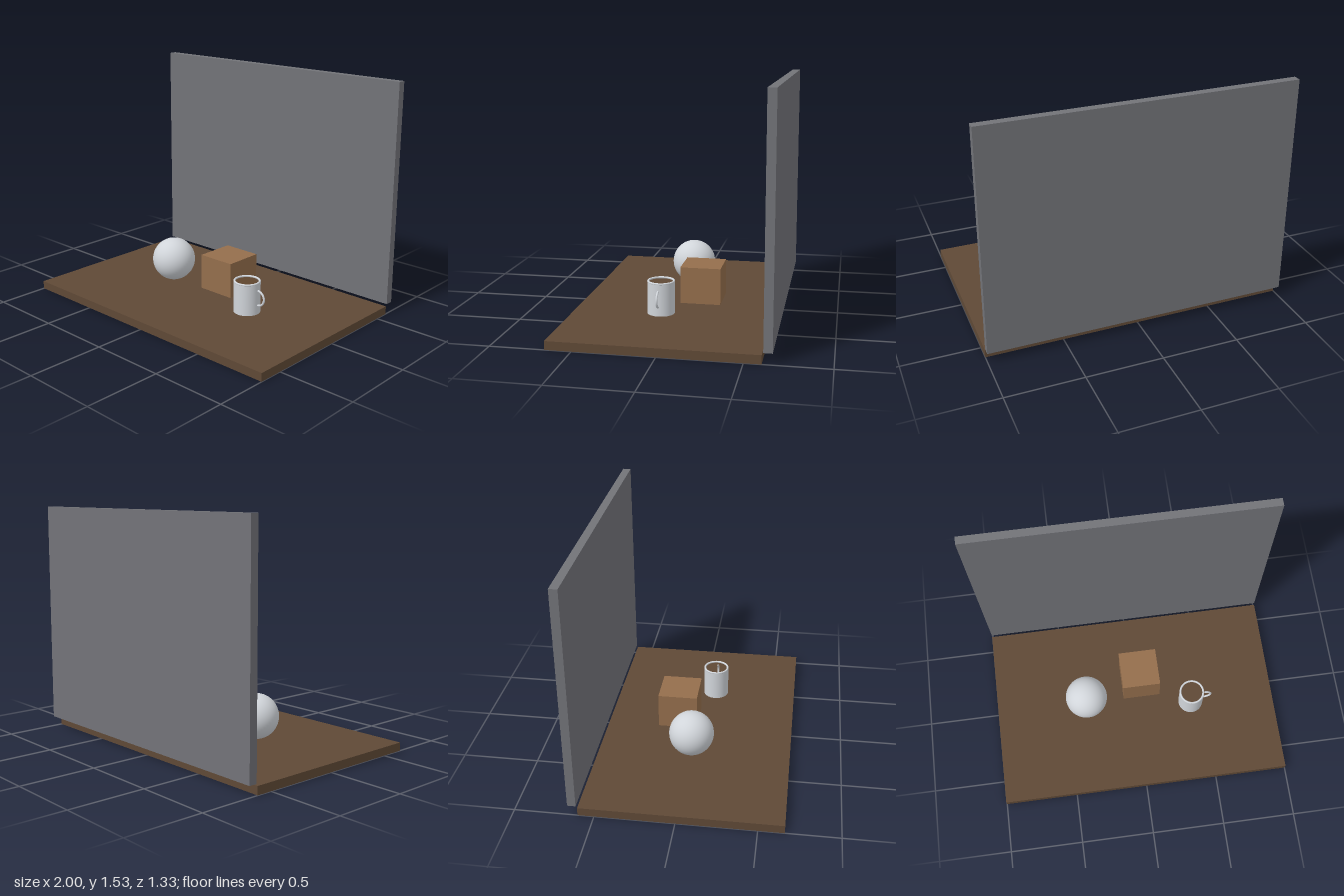
import * as THREE from 'three';

const mat = (name, color) => {
  const m = new THREE.MeshStandardMaterial({ color });
  m.name = name;
  return m;
};

export function createModel() {
  const darkWood = mat('darkWood', 0x5f4936);
  const lightWood = mat('lightWood', 0x946e4c);
  const wallGrey = mat('wallGrey', 0x727378);
  const paleGrey = mat('paleGrey', 0xd1d5da);

  const model = new THREE.Group();
  model.name = 'tableStillLife';

  const add = (parent, name, geometry, material, x, y, z) => {
    const mesh = new THREE.Mesh(geometry, material);
    mesh.name = name;
    mesh.position.set(x, y, z);
    parent.add(mesh);
    return mesh;
  };

  // Table slab and the backdrop wall floating just behind it
  add(model, 'tableTop', new THREE.BoxGeometry(2, 0.054, 1.265), darkWood, 0, 0.027, 0.03);
  add(model, 'backWall', new THREE.BoxGeometry(2, 1.466, 0.053), wallGrey, 0, 0.8, -0.637);

  // Objects hover slightly over the table
  const base = 0.067;
  add(model, 'ball', new THREE.SphereGeometry(0.147, 48, 32), paleGrey, -0.349, base + 0.147, 0.014);
  add(model, 'woodenBlock', new THREE.BoxGeometry(0.264, 0.24, 0.264), lightWood, 0.05, base + 0.12, -0.118);

  // Mug: open wall, rounded rim and half-ring handle
  const mug = new THREE.Group();
  mug.name = 'mug';
  mug.position.set(0.398, base, 0.095);
  model.add(mug);
  const radius = 0.087, height = 0.208;
  add(mug, 'mugWall', new THREE.CylinderGeometry(radius, radius, height, 48, 1, true), paleGrey, 0, height / 2, 0);
  const rim = add(mug, 'mugRim', new THREE.TorusGeometry(radius - 0.006, 0.007, 12, 48), paleGrey, 0, height - 0.001, 0);
  rim.rotation.x = Math.PI / 2;
  const handle = add(mug, 'mugHandle', new THREE.TorusGeometry(0.049, 0.007, 12, 24, Math.PI), paleGrey, 0.092, 0.113, 0);
  handle.rotation.z = -Math.PI / 2;

  return model;
}
